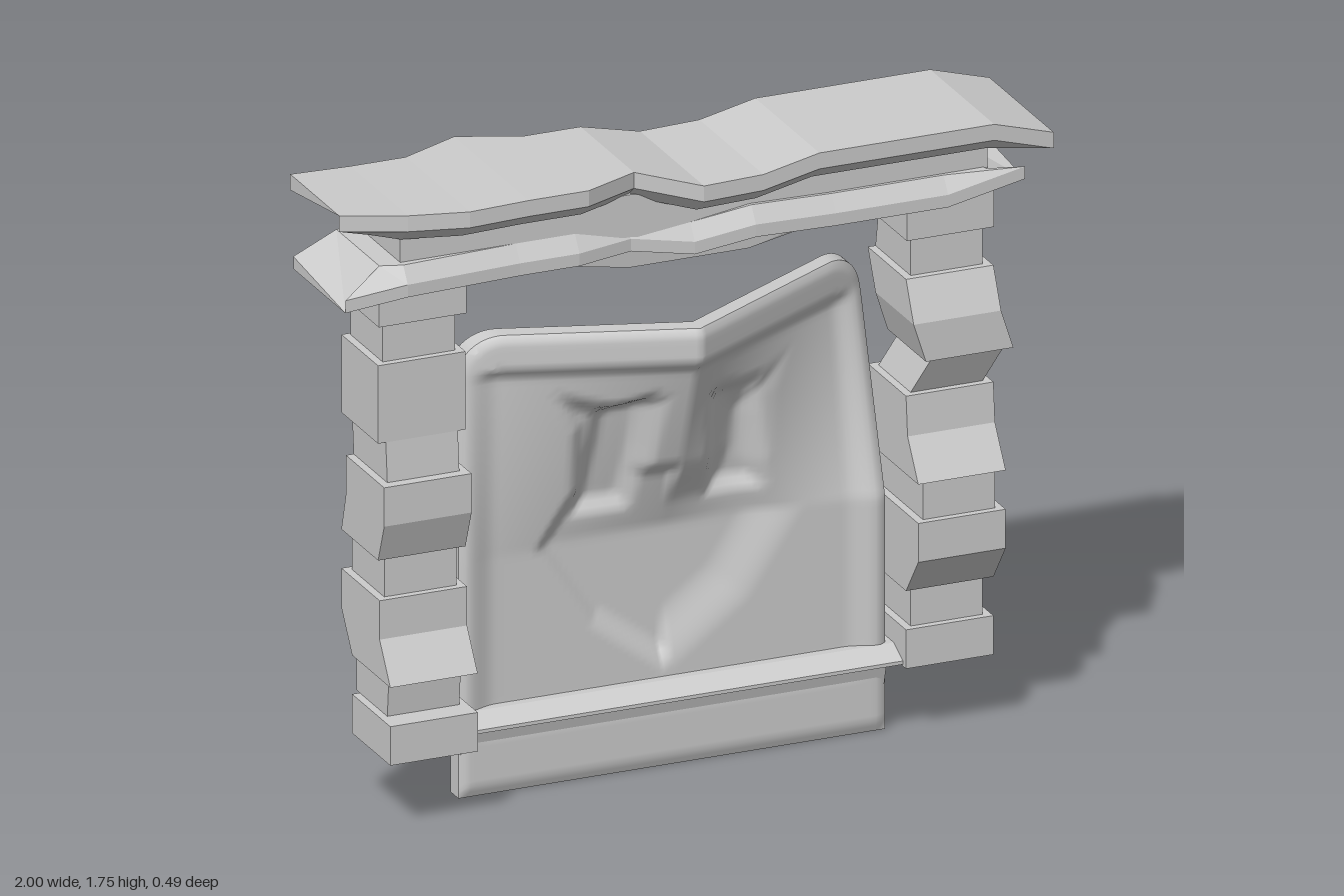
import * as THREE from 'three';

const flat = () => new THREE.MeshStandardMaterial({ color: 0xcccccc, flatShading: true });
const smooth = () => new THREE.MeshStandardMaterial({ color: 0xcccccc });

// Closed faceted solid through rings of points; winding is fixed by its volume
function loft(rings) {
  const tris = [], n = rings[0].length;
  for (let r = 0; r + 1 < rings.length; r++) {
    for (let i = 0; i < n; i++) {
      const j = (i + 1) % n;
      const a = rings[r][i], b = rings[r][j], c = rings[r + 1][j], d = rings[r + 1][i];
      tris.push([a, b, c], [a, c, d]);
    }
  }
  const last = rings[rings.length - 1];
  for (let i = 1; i < n - 1; i++) {
    tris.push([rings[0][0], rings[0][i + 1], rings[0][i]], [last[0], last[i], last[i + 1]]);
  }
  let volume = 0;
  const v = (p) => new THREE.Vector3(...p);
  for (const [a, b, c] of tris) volume += v(a).dot(v(b).cross(v(c)));
  if (volume < 0) tris.forEach((t) => t.reverse());
  const geo = new THREE.BufferGeometry();
  geo.setAttribute('position', new THREE.Float32BufferAttribute(tris.flat(2), 3));
  geo.computeVertexNormals();
  return geo;
}

function add(parent, name, geo, material = flat()) {
  const mesh = new THREE.Mesh(geo, material);
  mesh.name = name;
  parent.add(mesh);
}

// Stacked stone pillar; each block lists [y, centre x, half width, front z, back z]
function pillar(name, blocks) {
  const group = new THREE.Group();
  group.name = name;
  for (const block of blocks) {
    add(group, 'stoneBlock', loft(block.map(([y, x, w, f, b]) =>
      [[x - w, y, f], [x + w, y, f], [x + w, y, b], [x - w, y, b]])));
  }
  return group;
}

// Wavy beam through stations [x, y, front z, back z]: a straight edge, then a bevel drawn in at the ends too
function beam(stations, edge, depth, inset) {
  const n = stations.length;
  return loft(stations.map(([x, y, f, b], i) => {
    const isEnd = i === 0 || i === n - 1;
    const xi = isEnd ? x * 0.89 : x;
    const yi = (isEnd ? stations[i === 0 ? 1 : n - 2][1] : y) + depth;
    return [[x, y, f], [x, y, b], [x, y + edge, b],
      [xi, yi, b + inset], [xi, yi, f - inset], [x, y + edge, f]];
  }));
}

// Signed distance to a polygon, positive inside
function inside(poly, x, y) {
  let hit = false, best = 9;
  poly.forEach(([ax, ay], i) => {
    const [bx, by] = poly[(i + 1) % poly.length];
    const dx = bx - ax, dy = by - ay;
    const t = THREE.MathUtils.clamp(((x - ax) * dx + (y - ay) * dy) / (dx * dx + dy * dy), 0, 1);
    best = Math.min(best, Math.hypot(x - ax - t * dx, y - ay - t * dy));
    if ((ay > y) !== (by > y) && x < ax + dx * (y - ay) / dy) hit = !hit;
  });
  return hit ? best : -best;
}

// Half outline of the sunken face, mirrored, and one eye socket
const HALF = [[0.23, 0.42], [0.39, 0.66], [0.3, 0.82], [0.31, 1.0], [0.37, 1.13], [0.2, 1.08], [0.08, 1.12], [0.07, 0.88]];
const FACE = [[0, 0.25], ...HALF, ...HALF.map(([x, y]) => [-x, y]).reverse()];
const EYE = [[0.05, 1.1], [0.25, 1.08], [0.26, 0.95], [0.29, 0.72], [0.1, 0.72], [0.07, 0.92]];

// Folded panel with a raised rim, sunken face relief and rounded top corners
function panelGeometry() {
  const step = THREE.MathUtils.smoothstep;
  const geo = new THREE.BoxGeometry(1.22, 1.3, 0.06, 80, 84, 2);
  geo.translate(0, 0.65, 0);
  const p = geo.attributes.position;
  for (let i = 0; i < p.count; i++) {
    const x0 = p.getX(i), y0 = p.getY(i), ax = Math.abs(x0);
    let x = x0, y = y0, z = p.getZ(i);
    // top corners
    const r = 0.12, cx = ax - (0.61 - r), cy = y0 - (1.3 - r);
    if (cx > 0 && cy > 0) {
      const k = Math.max(cx, cy) / Math.hypot(cx, cy);
      x = Math.sign(x0) * (0.61 - r + cx * k);
      y = 1.3 - r + cy * k;
    }
    // relief on both faces
    const eye = step(inside(EYE, ax, y), 0, 0.06);
    if (z > 0.01) {
      const inner = (1 - step(ax, 0.5, 0.59)) * (1 - step(y, 1.17, 1.21)) * step(y, 0.15, 0.24);
      const face = step(inside(FACE, x, y), 0, x < 0 ? 0.055 : 0.16);
      z = 0.04 - 0.025 * inner - 0.035 * face - 0.035 * eye;
    } else if (z < -0.01) {
      z = -0.035 - 0.045 * eye;
    }
    // soft outer edge
    z *= 1 - 0.3 * Math.max(step(ax, 0.59, 0.61), step(y0, 1.28, 1.3), 1 - step(y0, 0, 0.03));
    // upper half folds forward along the middle and back at the sides
    const t = THREE.MathUtils.clamp((y - 0.66) / 0.54, 0, 1);
    z += t * THREE.MathUtils.lerp(0.19, x > 0 ? -0.165 : -0.01, Math.abs(x) / 0.61);
    p.setXYZ(i, x, y, z);
  }
  geo.computeVertexNormals();
  return geo;
}

export function createModel() {
  const model = new THREE.Group();
  model.name = 'gate';

  // Pillars
  const L = 0.755, W = 0.125, N = 0.103;
  model.add(pillar('leftPillar', [
    [[0.2, L, W, 0.12, -0.13], [0.31, L, W, 0.12, -0.13]],
    [[0.31, L, N, 0.1, -0.11], [0.42, L, N, 0.1, -0.11]],
    [[0.42, L, W, 0.12, -0.13], [0.53, L, W, 0.2, -0.13], [0.64, L, W, 0.2, -0.13]],
    [[0.64, L, N, 0.18, -0.11], [0.75, L, N, 0.18, -0.11]],
    [[0.75, L, W, 0.2, -0.13], [0.86, L, W, 0.13, -0.13], [0.97, L, W, 0.12, -0.13]],
    [[0.97, L, N, 0.1, -0.11], [1.08, L + 0.04, N, 0.15, -0.06]],
    [[1.08, L + 0.035, W, 0.17, -0.08], [1.19, L, W, 0.17, -0.08], [1.3, L, W, 0.12, -0.13]],
    [[1.3, L, N, 0.1, -0.13], [1.41, L, N, 0.1, -0.11]],
    [[1.41, L, W, 0.125, -0.13], [1.52, L, W, 0.125, -0.13]],
  ]));
  model.add(pillar('rightPillar', [
    [[0.2, -L, W, 0.2, -0.05], [0.31, -L, W, 0.2, -0.05]],
    [[0.31, -L, N, 0.13, -0.07], [0.42, -L, N, 0.14, -0.07]],
    [[0.42, -L, W, 0.2, -0.05], [0.53, -L, W, 0.13, -0.12], [0.64, -L, W, 0.13, -0.12]],
    [[0.64, -L, N, 0.11, -0.1], [0.75, -L, N, 0.11, -0.1]],
    [[0.75, -L, W, 0.12, -0.12], [0.86, -L, W, 0.16, -0.09], [0.97, -L, W, 0.16, -0.09]],
    [[0.97, -L, N, 0.13, -0.09], [1.08, -L, N, 0.12, -0.1]],
    [[1.08, -L, W, 0.12, -0.12], [1.3, -L, W, 0.12, -0.12]],
    [[1.3, -L, N, 0.1, -0.11], [1.41, -L, N, 0.1, -0.11]],
    [[1.41, -L, W, 0.125, -0.13], [1.52, -L, W, 0.125, -0.13]],
  ]));

  // Upper roof slab, bevelled below
  add(model, 'roofSlab', beam([
    [-1, 1.75, 0.14, -0.18], [-0.83, 1.745, 0.2, -0.18], [-0.67, 1.745, 0.24, -0.18], [-0.5, 1.75, 0.24, -0.25],
    [-0.33, 1.75, 0.24, -0.18], [-0.17, 1.75, 0.17, -0.18], [0, 1.71, 0.24, -0.18],
    [0.17, 1.715, 0.24, -0.18], [0.33, 1.75, 0.24, -0.18], [0.83, 1.75, 0.24, -0.18], [1, 1.7, 0.24, -0.18],
  ], -0.045, -0.085, 0.05));

  // Spacer board between the slabs
  add(model, 'spacerBoard', loft([[-0.83, 0], [-0.17, 0], [0, -0.03], [0.17, -0.03], [0.33, 0], [0.85, 0]].map(
    ([x, d]) => [[x, 1.68 + d, 0.15], [x, 1.68 + d, -0.11], [x, 1.56 + d, -0.11], [x, 1.56 + d, 0.15]])));

  // Lower lintel, bevelled above, with a sagging underside
  add(model, 'lintel', beam([
    [-1, 1.49, 0.18, -0.16], [-0.83, 1.515, 0.2, -0.17], [-0.5, 1.515, 0.18, -0.17], [-0.33, 1.515, 0.18, -0.2],
    [-0.17, 1.52, 0.15, -0.17], [0, 1.495, 0.18, -0.17], [0.17, 1.52, 0.19, -0.17], [0.4, 1.515, 0.19, -0.17],
    [0.72, 1.515, 0.19, -0.17], [0.94, 1.56, 0.19, -0.17],
  ], 0.035, 0.08, 0.03));
  add(model, 'lintelUnderside', loft([[-0.42, 1.515], [-0.17, 1.47], [0.17, 1.47], [0.4, 1.515]].map(
    ([x, y]) => [[x, 1.53, 0.145], [x, 1.53, -0.165], [x, y, -0.165], [x, y, 0.14]])));

  // Panel and its ledge
  add(model, 'foldedPanel', panelGeometry(), smooth());
  add(model, 'ledge', loft([-0.63, 0.63].map((x) =>
    [[x, 0.205, 0.1], [x, 0.215, 0.1], [x, 0.245, 0.04], [x, 0.245, -0.06], [x, 0.205, -0.06]])));
  add(model, 'ledgeBracket', loft([-0.605, 0.605].map((x) => [[x, 0.21, 0.055], [x, 0.21, 0], [x, 0.08, 0.02]])));

  return model;
}
